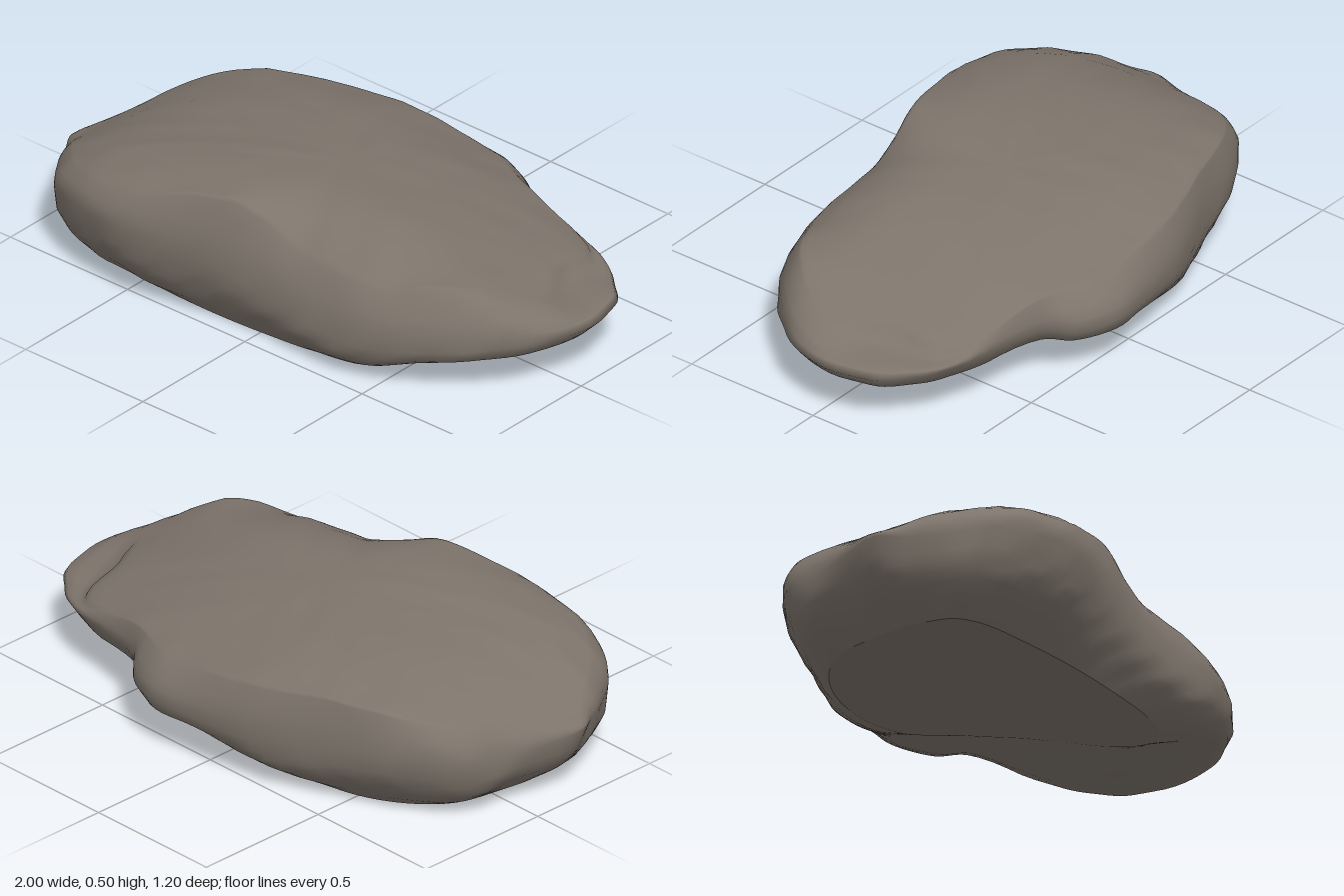
import * as THREE from 'three';
import { mergeVertices } from 'three/addons/utils/BufferGeometryUtils.js';

// Outline of the boulder: rim x, rim z, rim height, foot x, foot z, shoulder scale
const OUTLINE = [
  [-1, 0.2, 0.24, -0.8, 0.17, 0.95],
  [-0.95, 0.3, 0.23, -0.79, 0.26, 0.95],
  [-0.87, 0.43, 0.24, -0.76, 0.34, 0.94],
  [-0.77, 0.53, 0.27, -0.68, 0.39, 0.92],
  [-0.5, 0.595, 0.29, -0.46, 0.42, 0.92],
  [-0.2, 0.535, 0.26, -0.2, 0.43, 0.89],
  [0.05, 0.49, 0.2, 0.02, 0.42, 0.86],
  [0.25, 0.49, 0.16, 0.2, 0.4, 0.84],
  [0.48, 0.475, 0.15, 0.33, 0.36, 0.86],
  [0.68, 0.39, 0.17, 0.38, 0.3, 0.89],
  [0.86, 0.24, 0.19, 0.37, 0.23, 0.9],
  [0.99, 0.03, 0.2, 0.32, 0.16, 0.86],
  [0.97, -0.2, 0.2, 0.24, 0.09, 0.8],
  [0.88, -0.3, 0.2, 0.18, 0.04, 0.87],
  [0.75, -0.39, 0.21, 0.11, -0.02, 0.95],
  [0.4, -0.46, 0.21, 0.02, -0.12, 0.96],
  [0.32, -0.54, 0.19, -0.03, -0.17, 0.89],
  [0.18, -0.6, 0.2, -0.08, -0.24, 0.88],
  [0, -0.58, 0.19, -0.15, -0.31, 0.9],
  [-0.22, -0.55, 0.18, -0.3, -0.35, 0.92],
  [-0.48, -0.45, 0.21, -0.5, -0.32, 0.95],
  [-0.72, -0.36, 0.23, -0.65, -0.24, 0.95],
  [-0.89, -0.22, 0.21, -0.75, -0.13, 0.93],
  [-0.93, -0.05, 0.21, -0.79, 0.02, 0.94],
];
const SEGMENTS = 144;
const { lerp, smoothstep } = THREE.MathUtils;

// Top profile along x (z = crest) and along z (x = crest)
const TOP_X = [[-1, 0.27], [-0.9, 0.34], [-0.78, 0.405], [-0.65, 0.455], [-0.45, 0.487], [-0.2, 0.503], [0, 0.495],
  [0.2, 0.48], [0.4, 0.453], [0.72, 0.37], [0.85, 0.31], [1, 0.27]];
const TOP_Z = [[-0.6, 0.28], [-0.52, 0.35], [-0.3, 0.425], [-0.1, 0.46], [0.15, 0.485], [0.33, 0.5], [0.45, 0.485], [0.53, 0.46], [0.6, 0.4]];
function along(table, v) {
  const i = Math.max(1, table.findIndex(([at]) => v <= at));
  const [a, ya] = table[i - 1], [b, yb] = table[i];
  return ya + (yb - ya) * THREE.MathUtils.clamp((v - a) / (b - a), 0, 1);
}
// The top is slightly twisted, and its front droops into a scoop right of the middle
function topHeight(x, z) {
  const scoop = smoothstep(x, -0.1, 0.2) * (1 - smoothstep(x, 0.5, 0.85));
  const droop = Math.max(0, z - 0.1);
  return along(TOP_X, x) + along(TOP_Z, z) - 0.5 + 0.1 * x * z - scoop * droop * droop * 1.1;
}

// Closed smooth curve through three columns of the outline
const loop = (a, b, c) => new THREE.CatmullRomCurve3(
  OUTLINE.map((p) => new THREE.Vector3(p[a], p[b], p[c])), true, 'centripetal');

// Gentle weathering made from crossed waves
function weather(x, y, z) {
  const broad = Math.sin(x * 9 + y * 14 + 1.3) * Math.sin(z * 11 - y * 8 + x * 3);
  const fine = Math.sin(x * 27 - y * 31 + z * 9) * Math.sin(z * 25 + y * 22 - x * 7);
  return broad * 0.012 + fine * 0.008;
}

// Joins equal rings of points, listed from bottom to top, into a surface
function skin(rings) {
  const position = [], index = [];
  rings.forEach((ring) => ring.forEach((p) => position.push(p.x, p.y, p.z)));
  for (let r = 0; r < rings.length - 1; r++) {
    for (let i = 0; i < SEGMENTS; i++) {
      const j = (i + 1) % SEGMENTS, a = r * SEGMENTS, b = a + SEGMENTS;
      index.push(a + i, a + j, b + j, a + i, b + j, b + i);
    }
  }
  const geometry = new THREE.BufferGeometry();
  geometry.setAttribute('position', new THREE.Float32BufferAttribute(position, 3));
  geometry.setIndex(index);
  const merged = mergeVertices(geometry, 1e-5);
  merged.computeVertexNormals();
  return merged;
}

export function createModel() {
  const group = new THREE.Group();
  group.name = 'boulder';
  const stone = new THREE.MeshStandardMaterial({ color: 0x7d746b });
  stone.name = 'grey brown stone';

  const rimCurve = loop(0, 2, 1), footCurve = loop(3, 5, 4);
  const rim = [], foot = [], scale = [];
  for (let i = 0; i < SEGMENTS; i++) {
    rim.push(rimCurve.getPoint(i / SEGMENTS));
    const f = footCurve.getPoint(i / SEGMENTS);
    scale.push(f.y);
    foot.push(f.setY(0));
  }

  const rings = [foot];
  // Lower flank, from foot to rim: share outward and upward where shallow, then share outward where steep
  for (const [out, up, steepOut] of [[0.18, 0.19, 0.38], [0.38, 0.36, 0.62], [0.6, 0.5, 0.78], [0.8, 0.62, 0.86], [0.94, 0.76, 0.94], [1, 1, 1]]) {
    rings.push(rim.map((p, i) => {
      const reach = Math.hypot(p.x - foot[i].x, p.z - foot[i].z);
      const share = lerp(steepOut, out, smoothstep(reach, 0.2, 0.45));
      const q = foot[i].clone().lerp(p, share).setY(p.y * up);
      const w = weather(q.x, q.y, q.z) * (1 - up * 0.6);
      return q.set(q.x * (1 + w * 1.3), q.y + w * 0.5 * (1 - up), q.z * (1 + w * 2));
    }));
  }
  // Upper flank, with a ledge below the top slab at the tapered end
  for (const [inward, up, ledgeUp] of [[0.06, 0.34, 0.28], [0.3, 0.58, 0.36], [0.6, 0.8, 0.4], [0.88, 0.95, 0.5], [1, 1, 1]]) {
    rings.push(rim.map((p, i) => {
      const k = 1 - (1 - scale[i]) * inward;
      const ledge = smoothstep(p.x, 0.6, 0.85) * (1 - smoothstep(p.z, -0.15, 0.06));
      const top = topHeight(p.x * scale[i], p.z * scale[i]);
      const y = lerp(p.y, top, lerp(up, ledgeUp, ledge));
      const w = weather(p.x * k, y, p.z * k) * 0.5;
      return new THREE.Vector3(p.x * k * (1 + w), y, p.z * k * (1 + w));
    }));
  }
  // Broad sloping top
  for (const s of [0.97, 0.92, 0.85, 0.72, 0.58, 0.44, 0.3, 0.15, 0]) {
    rings.push(rim.map((p, i) => {
      const x = p.x * scale[i] * s, z = p.z * scale[i] * s;
      return new THREE.Vector3(x, topHeight(x, z) + weather(x, 0.4, z) * 0.25, z);
    }));
  }
  const body = new THREE.Mesh(skin(rings), stone);
  body.name = 'stoneBody';

  // Flat underside
  const centre = new THREE.Vector3(-0.25, 0, 0.1);
  const base = new THREE.Mesh(skin([foot.map(() => centre), foot]), stone);
  base.name = 'flatUnderside';
  group.add(body, base);
  return group;
}
